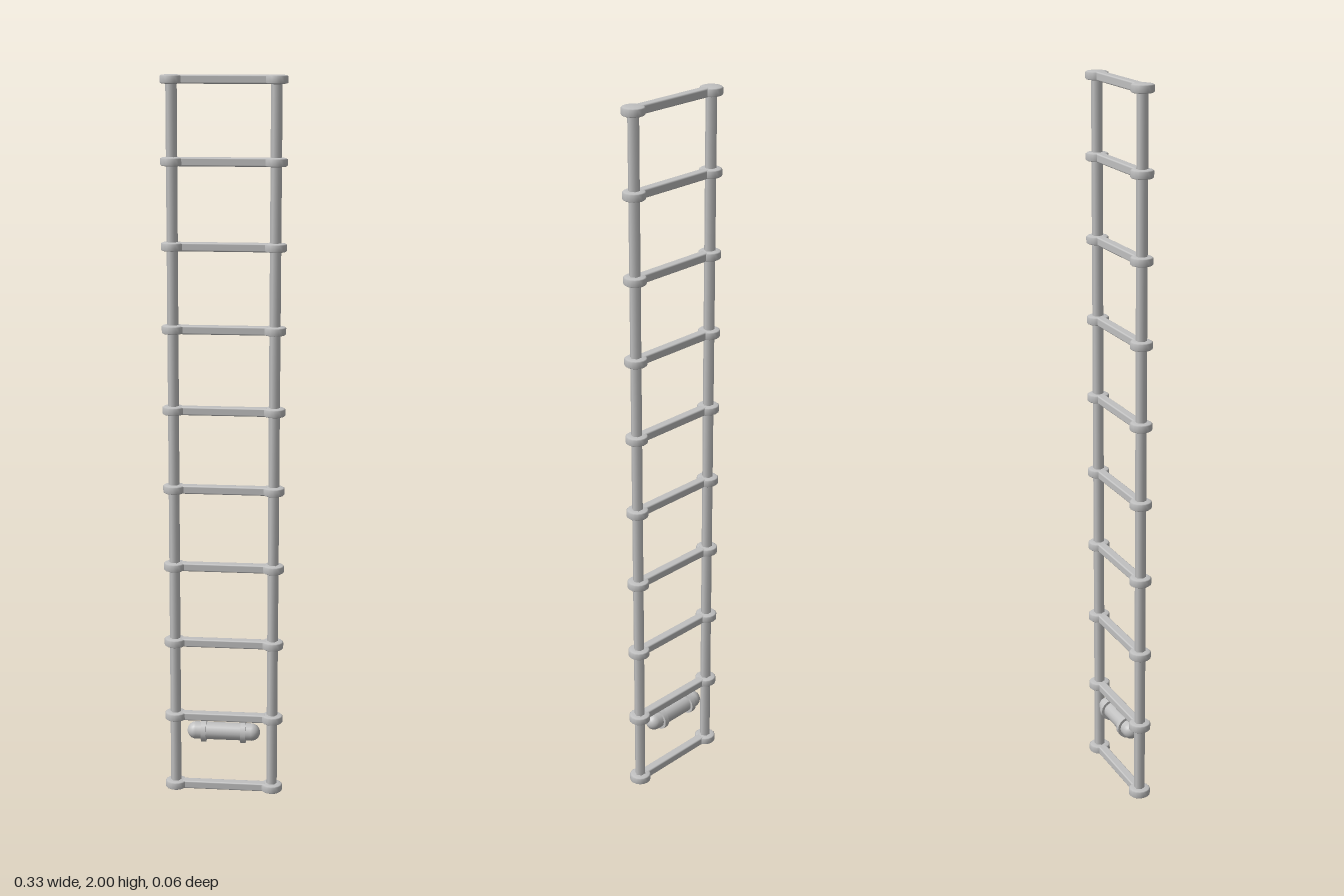
import * as THREE from 'three';
import { RoundedBoxGeometry } from 'three/addons/geometries/RoundedBoxGeometry.js';

export function createModel() {
  const model = new THREE.Group();
  const grey = new THREE.MeshStandardMaterial({ color: 0xc0c0c0 });
  grey.name = 'light grey';

  const add = (name, geometry, x, y, lying = false) => {
    const mesh = new THREE.Mesh(geometry, grey);
    mesh.name = name;
    mesh.position.set(x, y, 0);
    if (lying) mesh.rotation.z = Math.PI / 2;
    model.add(mesh);
  };

  const railX = 0.137;
  const rungHeights = [0.0125, 0.222, 0.444, 0.667, 0.89, 1.111, 1.333, 1.555, 1.777, 1.9875];

  // Shared squared rung and domed knot shapes
  const rungGeo = new RoundedBoxGeometry(0.24, 0.023, 0.025, 2, 0.004);
  const knotProfile = [
    [0, -0.0125], [0.016, -0.012], [0.027, -0.0105], [0.03, -0.008],
    [0.03, 0.008], [0.027, 0.0105], [0.016, 0.012], [0, 0.0125],
  ].map(([r, y]) => new THREE.Vector2(r, y));
  const knotGeo = new THREE.LatheGeometry(knotProfile, 16);

  // Rungs with a knot at each end
  for (const y of rungHeights) {
    add('rung', rungGeo, 0, y);
    for (const side of [-1, 1]) add('knot', knotGeo, side * railX, y);
  }

  // Six-sided side ropes
  const ropeGeo = new THREE.CylinderGeometry(0.015, 0.015, 1.975, 6, 1, false, Math.PI / 2);
  for (const side of [-1, 1]) add(side > 0 ? 'leftRope' : 'rightRope', ropeGeo, side * railX, 1);

  // Rounded float hanging under the second rung, with two straps
  const floatY = 0.178;
  add('float', new THREE.CapsuleGeometry(0.0245, 0.158, 6, 16), 0, floatY, true);
  const strapGeo = new THREE.CylinderGeometry(0.032, 0.032, 0.014, 16);
  for (const side of [-1, 1]) add('strap', strapGeo, side * 0.056, floatY, true);

  return model;
}
